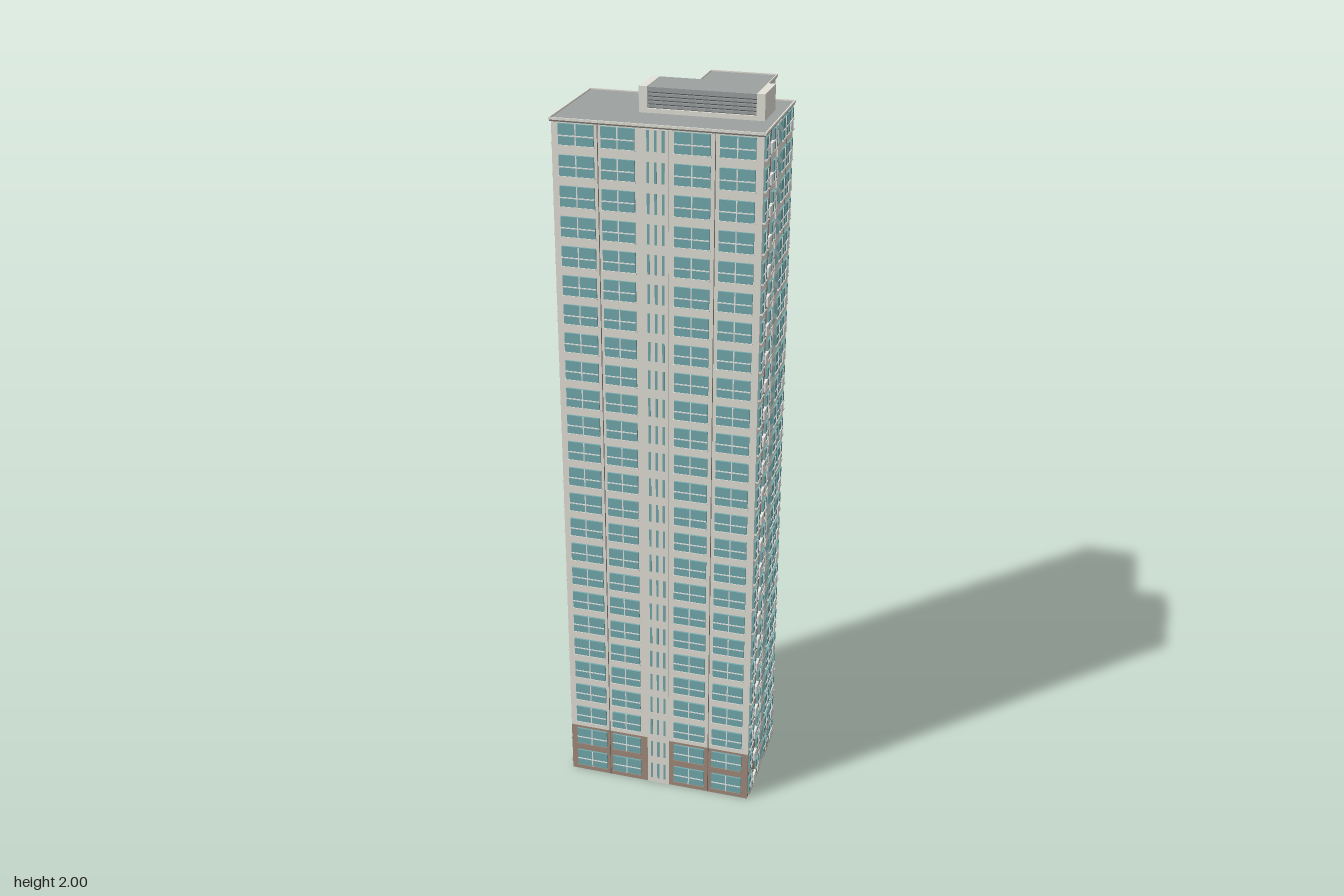
import * as THREE from 'three';
import { mergeGeometries } from 'three/addons/utils/BufferGeometryUtils.js';

const mat = (name, color) => {
  const m = new THREE.MeshStandardMaterial({ color });
  m.name = name;
  return m;
};

export function createModel() {
  const wallMat = mat('pale render', 0xe3e1d8);
  const baseMat = mat('brown base', 0xa38b7c);
  const glassMat = mat('teal glass', 0x73abae);
  const frameMat = mat('white frame', 0xf4f4f1);
  const roofMat = mat('roof grey', 0x9da1a0);
  const seamMat = mat('dark seam', 0x77756f);
  const darkMat = mat('louvre dark', 0x585b5c);

  const model = new THREE.Group();
  model.name = 'towerBlock';
  const tower = new THREE.Group();
  tower.name = 'tower';
  tower.rotation.y = -0.361;
  model.add(tower);

  const FLOORS = 25, FH = 0.0773, TOP = FLOORS * FH, BASE = FH * 2;

  // Plan outline, z pointing to the front
  const plan = [[-0.235, 0.236], [0.291, 0.236], [0.291, -0.084], [0.186, -0.084],
    [0.186, -0.35], [0.01, -0.35], [0.01, -0.065], [-0.235, -0.065]];

  // Right-angled outline moved outwards by d
  const offset = (d) => plan.map(([x, z], i) => {
    const n = plan.length;
    const near = [plan[(i + n - 1) % n], plan[i], plan[(i + 1) % n]];
    let nx = 0, nz = 0;
    for (let k = 0; k < 2; k++) {
      nx -= Math.sign(near[k + 1][1] - near[k][1]);
      nz += Math.sign(near[k + 1][0] - near[k][0]);
    }
    return new THREE.Vector2(x + nx * d, -(z + nz * d));
  });

  const slab = (name, d, y0, y1, capMat, sideMat, holeD) => {
    const shape = new THREE.Shape(offset(d));
    if (holeD !== undefined) shape.holes.push(new THREE.Path(offset(holeD)));
    const g = new THREE.ExtrudeGeometry(shape, { depth: y1 - y0, bevelEnabled: false });
    g.rotateX(-Math.PI / 2);
    const mesh = new THREE.Mesh(g, [capMat, sideMat]);
    mesh.name = name;
    mesh.position.y = y0;
    tower.add(mesh);
  };
  slab('baseStoreys', 0, 0, BASE, wallMat, baseMat);
  slab('upperStoreys', 0, BASE, TOP, wallMat, wallMat);
  slab('roofDeck', 0, TOP, TOP + 0.003, roofMat, roofMat);
  slab('parapetShadowLine', 0.003, TOP - 0.004, TOP, seamMat, seamMat, 0);
  slab('parapet', 0.005, TOP, TOP + 0.006, wallMat, wallMat, 0.0015);

  // Wall details are gathered per part, in wall coordinates (x along, y up, z out)
  const parts = {};
  const add = (part, material, wall, x0, x1, y0, y1, depth, z0 = 0) => {
    const g = new THREE.BoxGeometry(x1 - x0, y1 - y0, depth);
    g.translate((x0 + x1) / 2, (y0 + y1) / 2, z0 + depth / 2);
    g.applyMatrix4(wall.matrix);
    (parts[part] ??= { material, list: [] }).list.push(g);
  };
  const makeWall = (edge) => {
    const [x, z] = plan[edge], [x2, z2] = plan[(edge + 1) % plan.length];
    const matrix = new THREE.Matrix4().makeRotationY(-Math.atan2(z2 - z, x2 - x));
    matrix.setPosition(x, 0, z);
    return { matrix, length: Math.hypot(x2 - x, z2 - z) };
  };

  // One window: glass, two-way glazing bars and a sill
  const windowUnit = (wall, x0, x1, y) => {
    const y0 = y + 0.018, y1 = y + 0.07, xm = (x0 + x1) / 2, ym = y + 0.041, b = 0.0015;
    const lower = y < BASE - 0.01;
    add('windowPanes', glassMat, wall, x0, x1, y0, y1, 0.005);
    add('windowMullions', frameMat, wall, xm - b, xm + b, y0, y1, 0.002, 0.005);
    add('windowTransoms', frameMat, wall, x0, x1, ym - b, ym + b, 0.0015, 0.005);
    add(lower ? 'lowerSills' : 'upperSills', lower ? baseMat : wallMat, wall,
      x0 - 0.002, x1 + 0.002, y0 - 0.004, y0, 0.007);
  };

  // Glazed walls: bays as fractions of the wall, stair slits in the middle
  const glazedWall = (edge, bays, slits, coolers) => {
    const wall = makeWall(edge), L = wall.length;
    for (let f = 0; f < FLOORS; f++) {
      const y = f * FH;
      for (const [a, b] of bays) windowUnit(wall, a * L, b * L, y);
      const [s0, s1] = slits, w = (s1 - s0) / 10;
      for (let k = 0; k < 3; k++) {
        const a = s0 + w * (1.5 + 3 * k);
        add('stairSlits', glassMat, wall, a * L, (a + w) * L, y + 0.018, y + 0.07, 0.001, 0.004);
      }
      for (const [a, b] of coolers)
        add('coolerBoxes', frameMat, wall, a * L, b * L, y + 0.02, y + 0.045, 0.008);
    }
    add('stairStrips', wallMat, wall, slits[0] * L, slits[1] * L, 0.002, TOP - 0.005, 0.004);
    // Joints between the bays
    for (const x of [(bays[0][1] + bays[1][0]) / 2, (bays[2][1] + bays[3][0]) / 2])
      add('bayJoints', seamMat, wall, x * L - 0.0008, x * L + 0.0008, 0, TOP - 0.005, 0.002);
  };
  const sideBays = [[0.02, 0.14], [0.28, 0.39], [0.58, 0.75], [0.79, 0.95]];
  const sideCoolers = [[0.16, 0.25], [0.82, 0.9]];
  glazedWall(0, [[0.035, 0.205], [0.24, 0.4], [0.588, 0.757], [0.8, 0.965]], [0.44, 0.56], []);
  for (const edge of [1, 5, 7]) glazedWall(edge, sideBays, [0.42, 0.55], sideCoolers);

  // Blank panelled walls with fine joints
  const blankWall = (edge, joints) => {
    const wall = makeWall(edge), L = wall.length;
    for (let f = 3; f < FLOORS; f++)
      add('panelJoints', seamMat, wall, 0, L, f * FH - 0.0005, f * FH + 0.0005, 0.001);
    for (const j of joints)
      add('panelJoints', seamMat, wall, j * L - 0.0015, j * L + 0.0015, BASE, TOP - 0.004, 0.001);
  };
  blankWall(2, [0.5]);
  blankWall(3, [0.18, 0.38, 0.57]);
  blankWall(4, [0.33, 0.67]);
  blankWall(6, [0.25, 0.5, 0.75]);

  for (const [name, { material, list }] of Object.entries(parts)) {
    const mesh = new THREE.Mesh(mergeGeometries(list), material);
    mesh.name = name;
    tower.add(mesh);
  }

  // Rooftop plant room
  const plant = new THREE.Group();
  plant.name = 'plantRoom';
  plant.position.set(0.109, TOP, 0.069);
  tower.add(plant);
  const H = 2 - TOP;
  const block = (name, material, w, h, d, x, y, z) => {
    const mesh = new THREE.Mesh(new THREE.BoxGeometry(w, h, d), material);
    mesh.name = name;
    mesh.position.set(x, y, z);
    plant.add(mesh);
  };
  block('plantCore', darkMat, 0.27, H - 0.006, 0.1, 0, (H - 0.006) / 2, 0);
  block('plantRoof', roofMat, 0.272, 0.006, 0.112, 0, H - 0.004, 0);
  block('plantPlinth', wallMat, 0.272, 0.014, 0.112, 0, 0.007, 0);
  for (const s of [-1, 1]) {
    block('plantEndWall', wallMat, 0.021, H, 0.112, s * 0.1465, H / 2, 0);
    for (let k = 0; k < 5; k++)
      block('louvreSlat', roofMat, 0.272, 0.006, 0.005, 0, 0.0195 + k * 0.0095, s * 0.0525);
  }
  return model;
}
